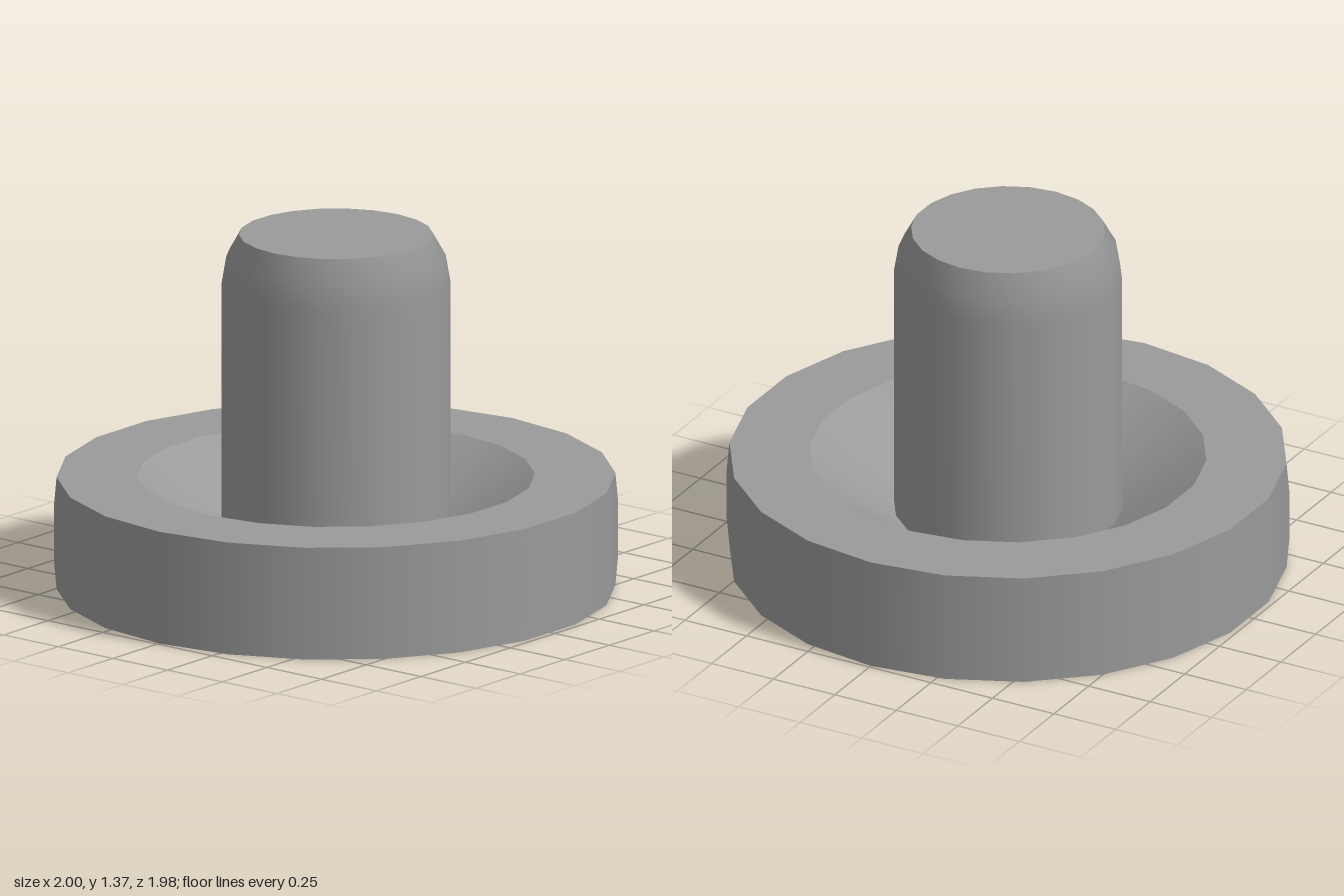
import * as THREE from 'three';

const SIDES = 22;
const material = new THREE.MeshStandardMaterial({ color: 0x9a9a9a });

// Turned surface, smooth within one profile; separate profiles give sharp edges.
// radial and vertical weight the normals, to even out the shading of nearly straight faces.
function turned(name, profile, radial = 1, vertical = 1) {
  const points = profile.map(([r, y]) => new THREE.Vector2(r, y));
  const geometry = new THREE.LatheGeometry(points, SIDES, Math.PI / 2);
  const normals = geometry.attributes.normal;
  for (let i = 0; i < normals.count; i++) {
    normals.setXYZ(i, normals.getX(i) * radial, normals.getY(i) * vertical, normals.getZ(i) * radial);
  }
  geometry.normalizeNormals();
  const mesh = new THREE.Mesh(geometry, material);
  mesh.name = name;
  return mesh;
}

export function createModel() {
  const model = new THREE.Group();
  model.name = 'flangedPin';

  // Round base with a slightly bulged wall and a conical recess around the post
  const base = new THREE.Group();
  base.name = 'base';
  base.add(
    turned('baseUnderside', [[0, 0], [0.99, 0]]),
    turned('baseWall', [[0.99, 0], [1, 0.11], [1, 0.3], [0.99, 0.41]], 1, 0),
    turned('baseRim', [[0.99, 0.41], [0.705, 0.41]]),
    turned('baseRecess', [[0.705, 0.41], [0.4, 0.2]]),
  );

  // Post with a rounded shoulder and a shallow pointed cap
  const post = new THREE.Group();
  post.name = 'post';
  post.add(
    turned('postShaft', [[0.405, 0.19], [0.405, 1.12], [0.389, 1.215], [0.344, 1.295]], 1, 0.5),
    turned('postCap', [[0.344, 1.295], [0, 1.365]], 0, 1),
  );

  model.add(base, post);
  return model;
}
